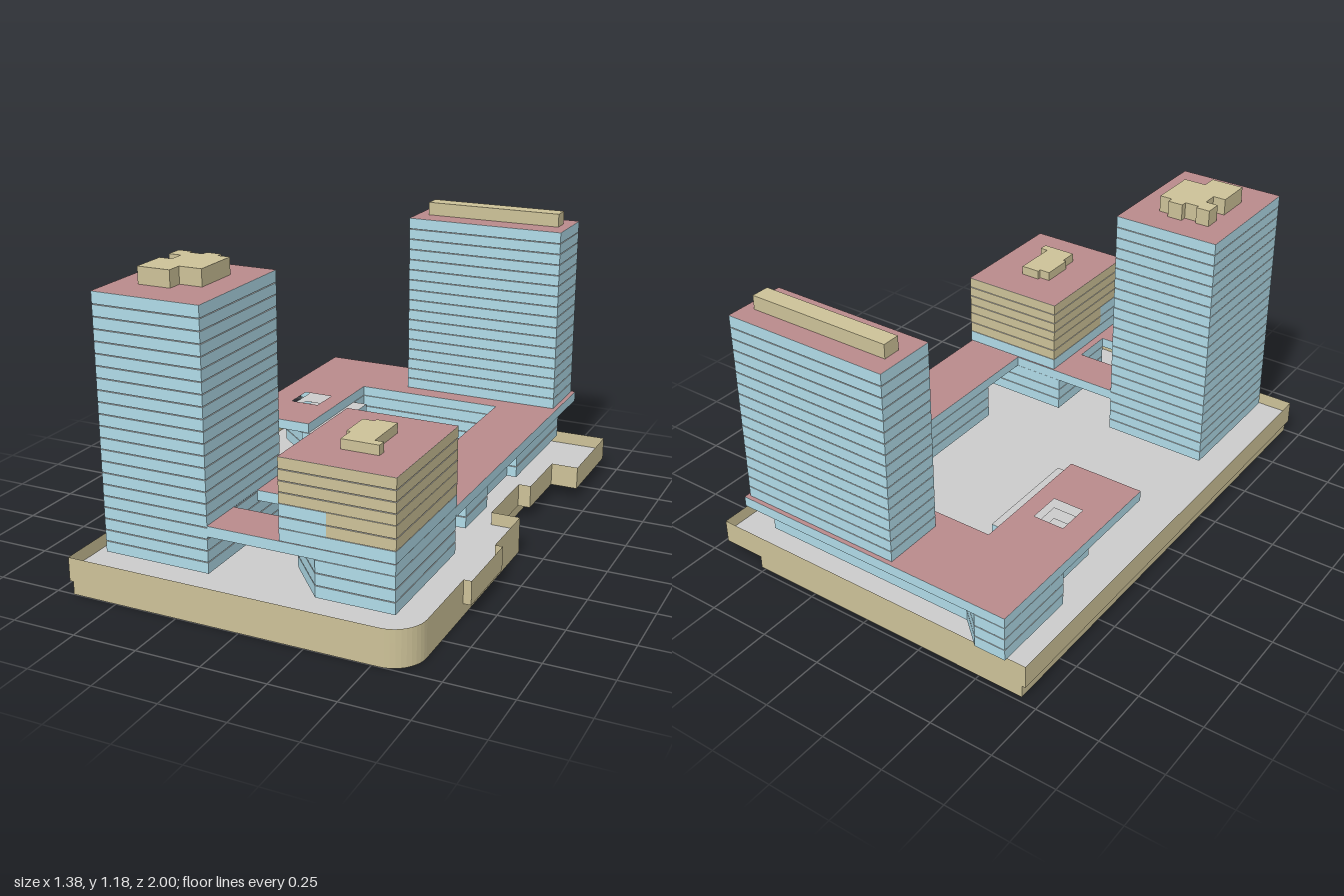
import * as THREE from 'three';

const mat = (color, side = THREE.FrontSide) =>
  new THREE.MeshStandardMaterial({ color, side, flatShading: true });
const GREY = mat(0xcccccc), TAN = mat(0xcdc298), BLUE = mat(0xb0dbe8), RED = mat(0xb98a8c);
const TAN_THIN = mat(0xcdc298, THREE.DoubleSide);

// Plans are lists of [x, z] corners
const rect = (x0, x1, z0, z1) => [[x0, z0], [x1, z0], [x1, z1], [x0, z1]];
const toShape = (plan, holes = []) => {
  const v = p => p.map(([x, z]) => new THREE.Vector2(x, -z));
  const s = new THREE.Shape(v(plan));
  s.holes = holes.map(h => new THREE.Path(v(h)));
  return s;
};

function addMesh(group, name, geo, material, y) {
  geo.rotateX(-Math.PI / 2);
  const m = new THREE.Mesh(geo, material);
  m.name = name;
  m.position.y = y;
  group.add(m);
}

// Prism with coloured walls and grey caps
function storey(group, name, plan, y0, y1, wall, holes, cap = GREY) {
  const geo = new THREE.ExtrudeGeometry(toShape(plan, holes), { depth: y1 - y0, bevelEnabled: false });
  addMesh(group, name, geo, [cap, wall], y0);
}

// Stack of equal storeys separated by fine joints
function stack(group, name, plan, y0, y1, n, wall, holes) {
  const h = (y1 - y0) / n;
  for (let i = 0; i < n; i++)
    storey(group, name + 'Storey', plan, y0 + i * h, y0 + (i + 1) * h - (i < n - 1 ? 0.003 : 0), wall, holes);
}

function roof(group, name, plan, y, holes) {
  addMesh(group, name, new THREE.ShapeGeometry(toShape(plan, holes)), RED, y + 0.001);
}

// Thin upright wall that follows a closed plan
function wallLoop(group, name, plan, y0, y1, material) {
  const pos = [];
  plan.forEach(([ax, az], i) => {
    const [bx, bz] = plan[(i + 1) % plan.length];
    pos.push(ax, y0, az, bx, y1, bz, bx, y0, bz, ax, y0, az, ax, y1, az, bx, y1, bz);
  });
  const geo = new THREE.BufferGeometry();
  geo.setAttribute('position', new THREE.Float32BufferAttribute(pos, 3));
  geo.computeVertexNormals();
  const m = new THREE.Mesh(geo, material);
  m.name = name;
  group.add(m);
}

// Rounded front corner of the podium
const corner = [];
for (let i = 0; i <= 10; i++) {
  const a = (i / 10) * Math.PI / 2;
  corner.push([0.525 + 0.12 * Math.cos(a), 0.88 + 0.12 * Math.sin(a)]);
}

function buildPodium() {
  const g = new THREE.Group();
  g.name = 'podium';
  const lower = [[-0.68, -0.98], [0.52, -0.98], [0.52, -0.02], [0.645, -0.02], ...corner, [-0.68, 1]];
  const upper = [[-0.695, -0.98], [0.69, -0.98], [0.69, -0.6], [0.58, -0.6], [0.58, -0.33],
    [0.53, -0.33], [0.53, -0.02], [0.645, -0.02], [0.645, 0.25], [0.675, 0.25], [0.675, 0.56],
    [0.645, 0.56], ...corner, [-0.695, 1]];
  storey(g, 'podiumBase', lower, 0, 0.05, TAN);
  storey(g, 'podiumDeck', upper, 0.05, 0.092, TAN);
  wallLoop(g, 'parapet', upper, 0.092, 0.143, TAN_THIN);
  return g;
}

function buildCourtyardWing() {
  const g = new THREE.Group();
  g.name = 'courtyardWing';
  const well = [rect(-0.515, -0.39, -0.49, -0.36)];
  // Recessed lower storeys
  const lower = [[-0.625, -1], [-0.5, -1], [-0.4, -0.91], [0.5, -0.91], [0.5, -0.38], [0.46, -0.38],
    [0.46, -0.05], [0.5, -0.05], [0.5, 0.175], [0.3, 0.175], [0.3, -0.67], [-0.32, -0.67],
    [-0.32, -0.57], [-0.26, -0.57], [-0.26, -0.14], [-0.35, -0.14], [-0.35, -0.2], [-0.55, -0.37],
    [-0.55, -0.65], [-0.625, -0.65]];
  stack(g, 'wingLower', lower, 0.15, 0.288, 3, BLUE, well);
  // Overhanging top storey running forward to the front bar
  const upper = [[-0.625, -1], [0.545, -1], [0.545, 0.387], [0.3, 0.387], [0.3, -0.67],
    [-0.32, -0.67], [-0.32, -0.14], [-0.625, -0.14]];
  storey(g, 'wingTopStorey', upper, 0.29, 0.33, BLUE, well);
  roof(g, 'wingRoof', upper, 0.33, well);
  return g;
}

function buildBackTower() {
  const g = new THREE.Group();
  g.name = 'backTower';
  const plan = rect(-0.138, 0.53, -0.985, -0.74);
  stack(g, 'backTower', plan, 0.333, 1.088, 17, BLUE);
  roof(g, 'backTowerRoof', plan, 1.088);
  storey(g, 'backPlantRoom', rect(-0.09, 0.488, -0.905, -0.835), 1.089, 1.143, TAN, [], TAN);
  return g;
}

function buildFrontTower() {
  const g = new THREE.Group();
  g.name = 'frontTower';
  const plan = rect(-0.59, -0.165, 0.388, 0.912);
  stack(g, 'frontTower', plan, 0.15, 1.115, 22, BLUE);
  roof(g, 'frontTowerRoof', plan, 1.115);
  const plant = [[-0.495, 0.505], [-0.44, 0.505], [-0.44, 0.52], [-0.385, 0.52], [-0.385, 0.495],
    [-0.325, 0.495], [-0.325, 0.52], [-0.275, 0.52], [-0.275, 0.71], [-0.365, 0.71], [-0.365, 0.77],
    [-0.495, 0.77], [-0.495, 0.63], [-0.445, 0.63], [-0.445, 0.57], [-0.495, 0.57]];
  storey(g, 'frontPlantRoom', plant, 1.116, 1.18, TAN, [], TAN);
  return g;
}

function buildFrontBlock() {
  const g = new THREE.Group();
  g.name = 'frontBlock';
  // Base with a slanted corner
  const base = [[0.09, 0.39], [0.545, 0.39], [0.545, 0.912], [0.25, 0.912], [0.09, 0.73]];
  stack(g, 'blockBase', base, 0.15, 0.288, 3, BLUE);
  // Bridge storey between tower and block, with a light well
  const well = [rect(-0.164, 0.09, 0.56, 0.73)];
  const bar = rect(-0.165, 0.545, 0.388, 0.912);
  const barPlan = [[-0.165, 0.388], [0.545, 0.388], [0.545, 0.912], [-0.165, 0.912],
    [-0.165, 0.73], [0.09, 0.73], [0.09, 0.56], [-0.165, 0.56]];
  storey(g, 'bridgeStorey', barPlan, 0.29, 0.33, BLUE);
  roof(g, 'bridgeRoof', bar, 0.33, well);
  // Upper block: one glazed storey, then clad storeys with a glazed front corner
  const plan = rect(0.117, 0.547, 0.39, 0.914);
  storey(g, 'glazedStorey', plan, 0.333, 0.378, BLUE);
  const notched = [[0.117, 0.39], [0.547, 0.39], [0.547, 0.914], [0.295, 0.914], [0.295, 0.75], [0.117, 0.75]];
  stack(g, 'clad', notched, 0.38, 0.468, 2, TAN);
  stack(g, 'glazedCorner', rect(0.117, 0.295, 0.75, 0.914), 0.38, 0.468, 2, BLUE);
  stack(g, 'clad', plan, 0.47, 0.635, 4, TAN);
  roof(g, 'blockRoof', plan, 0.635);
  const plant = [[0.26, 0.56], [0.305, 0.56], [0.305, 0.545], [0.385, 0.545], [0.385, 0.73],
    [0.418, 0.73], [0.418, 0.765], [0.275, 0.765], [0.275, 0.69], [0.26, 0.69]];
  storey(g, 'blockPlantRoom', plant, 0.636, 0.673, TAN, [], TAN);
  return g;
}

export function createModel() {
  const model = new THREE.Group();
  model.name = 'buildingComplex';
  model.add(buildPodium(), buildCourtyardWing(), buildBackTower(), buildFrontTower(), buildFrontBlock());
  return model;
}
